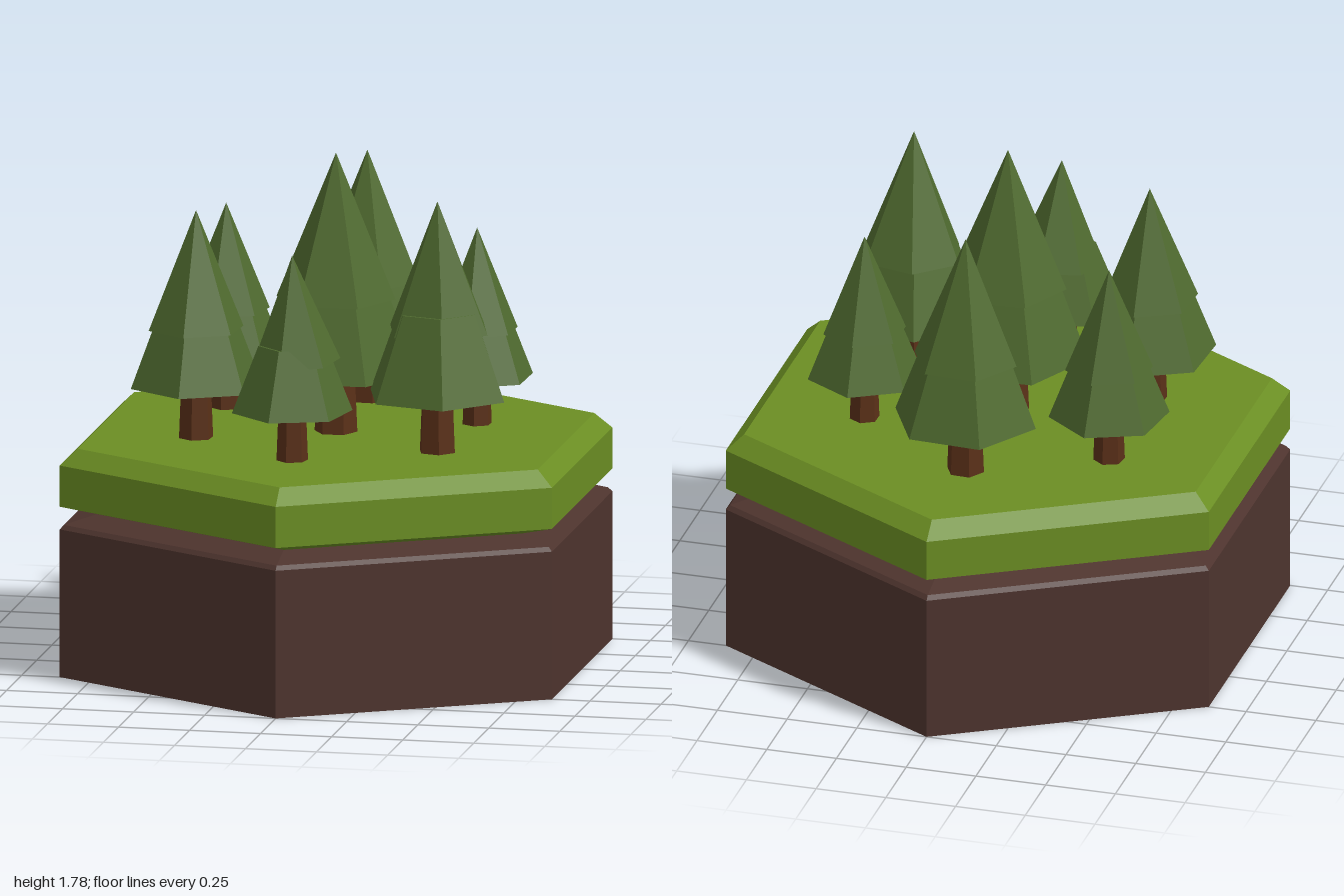
import * as THREE from 'three';

const mat = (color, side = THREE.FrontSide) =>
  new THREE.MeshStandardMaterial({ color, flatShading: true, side });

const grassMat = mat(0x6b8e23, THREE.DoubleSide);
const soilMat = mat(0x4e342e, THREE.DoubleSide);
const leafMat = mat(0x4f6a2f);
const barkMat = mat(0x5a3018);

// Six-sided open shell from a [radius, height] profile
function hexShell(name, profile, material) {
  const points = profile.map(([r, y]) => new THREE.Vector2(r, y));
  const mesh = new THREE.Mesh(new THREE.LatheGeometry(points, 6), material);
  mesh.name = name;
  return mesh;
}

// Six-sided tapered piece between two heights
function hexTaper(name, rTop, rBottom, yBottom, yTop, material) {
  const h = yTop - yBottom;
  const geometry = rTop > 0
    ? new THREE.CylinderGeometry(rTop, rBottom, h, 6)
    : new THREE.ConeGeometry(rBottom, h, 6);
  // pivot at the top so that a tier can lean around its tip
  geometry.translate(0, -h / 2, 0);
  const mesh = new THREE.Mesh(geometry, material);
  mesh.name = name;
  mesh.position.y = yTop;
  return mesh;
}

function createTree({ x, z, tip, turn, leanX = 0, leanZ = 0 }) {
  const s = (tip - 0.8) / 0.98;
  const skirt = 0.965 + 0.16 * (tip - 1.49);  // bottom of the lower tier
  const eave = tip - 0.51 * s;                // bottom of the upper tier
  const spin = THREE.MathUtils.degToRad(turn);

  const tree = new THREE.Group();
  tree.name = 'tree';
  tree.position.set(x, 0, z);

  const trunk = hexTaper('trunk', 0.064 * s, 0.075 * s, 0.79, skirt + 0.03, barkMat);
  const lower = hexTaper('lowerFoliage', 0.16 * s, 0.285 * s, skirt, eave + 0.08 * s, leafMat);
  const upper = hexTaper('upperFoliage', 0, 0.207 * s, eave, tip, leafMat);
  for (const part of [trunk, lower, upper]) {
    part.rotation.y = spin;
    tree.add(part);
  }
  // slight lean of the upper tier
  upper.rotation.set(leanX, spin, leanZ);
  return tree;
}

export function createModel() {
  const model = new THREE.Group();
  model.name = 'forestTile';

  // Hollow hexagonal base: soil block below, grass slab above
  model.add(hexShell('soil', [[1, 0], [1, 0.52], [0.985, 0.535], [0.865, 0.565]], soilMat));
  model.add(hexShell('grass', [[0.865, 0.565], [1, 0.6], [1, 0.745], [0.935, 0.8], [0, 0.8]], grassMat));

  // Trees: one in the middle, six around it
  const trees = [
    { x: 0, z: 0, tip: 1.78, turn: 33 },
    { x: 0, z: -0.52, tip: 1.68, turn: 27 },
    { x: -0.45, z: -0.3, tip: 1.52, turn: 52 },
    { x: -0.45, z: 0.2, tip: 1.6, turn: 57 },
    { x: 0.45, z: -0.22, tip: 1.49, turn: 59 },
    { x: 0.41, z: 0.25, tip: 1.68, turn: 16, leanX: 0.05 },
    { x: -0.05, z: 0.49, tip: 1.52, turn: 49, leanZ: 0.05 },
  ];
  for (const t of trees) model.add(createTree(t));
  return model;
}
